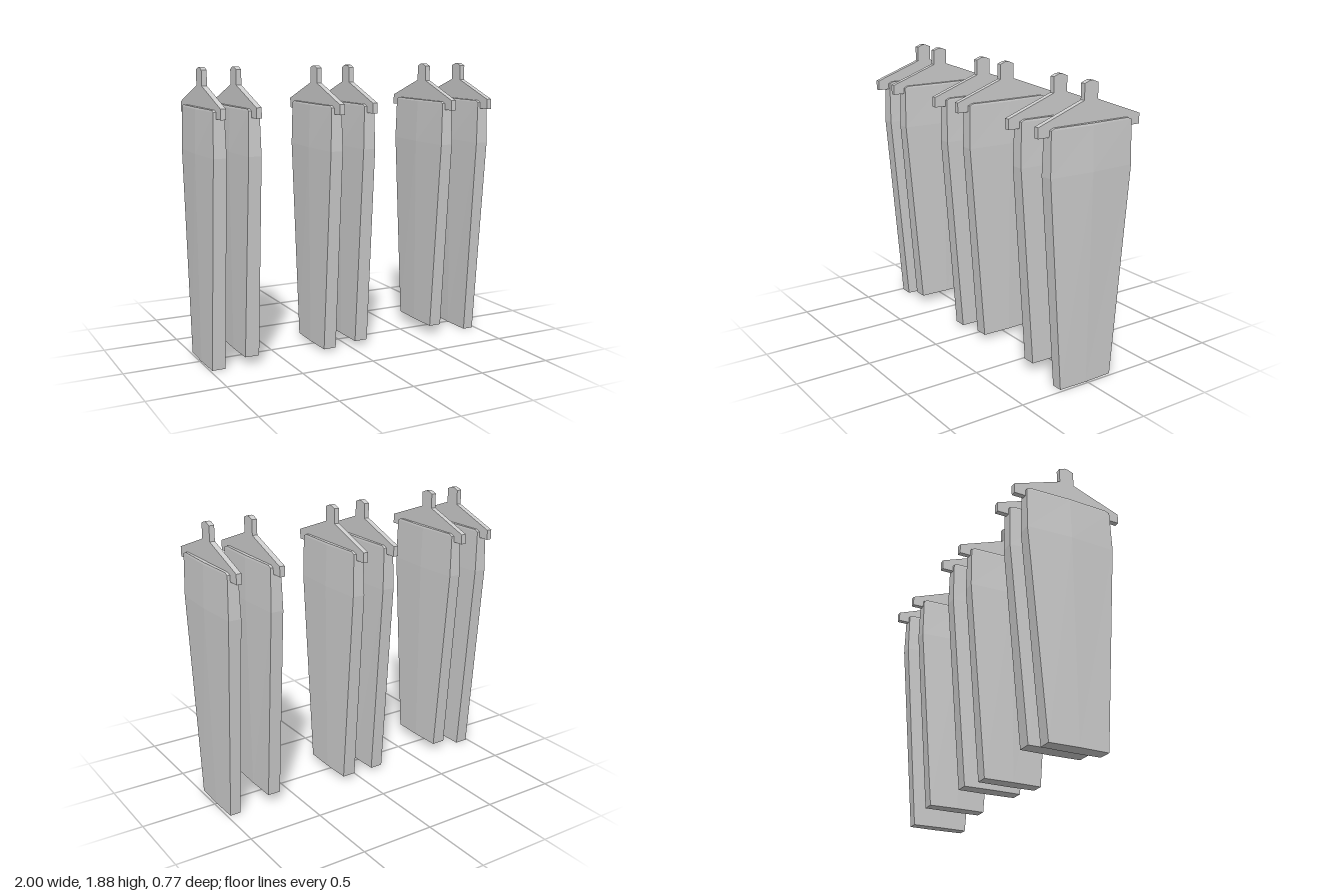
import * as THREE from 'three';

// Garment levels: [height fraction or y, half depth, edge half width, middle half width]
function garmentGeometry(bottom, bottomWidth) {
  const levels = [
    [bottom, 0.195, bottomWidth - 0.005, bottomWidth],
    [1.35, 0.302, 0.042, 0.055],
    [1.625, 0.297, 0.035, 0.045],
    [1.637, 0.27, 0.034, 0.042],
  ];
  // the hem follows the side taper when the garment is shorter
  levels[0][1] += (0.302 - 0.195) * bottom / 1.35;
  const rings = levels.map(([y, d, e, m]) => [
    [e, y, d], [m, y, 0], [e, y, -d], [-e, y, -d], [-m, y, 0], [-e, y, d],
  ]);
  const pos = [];
  const tri = (a, b, c) => pos.push(...a, ...b, ...c);
  for (let k = 0; k < rings.length - 1; k++) {
    for (let i = 0; i < 6; i++) {
      const j = (i + 1) % 6;
      const [a, b, c, d] = [rings[k][i], rings[k][j], rings[k + 1][j], rings[k + 1][i]];
      tri(a, b, c);
      tri(a, c, d);
    }
  }
  // flat hem and top
  const low = rings[0], high = rings[rings.length - 1];
  for (let i = 1; i < 5; i++) {
    tri(low[0], low[i + 1], low[i]);
    tri(high[0], high[i], high[i + 1]);
  }
  const g = new THREE.BufferGeometry();
  g.setAttribute('position', new THREE.Float32BufferAttribute(pos, 3));
  g.computeVertexNormals();
  return g;
}

// Flat hanger with sloping shoulders and a short neck
function hangerGeometry() {
  const half = [[0.375, 1.585], [0.375, 1.65], [0.05, 1.768], [0.05, 1.865], [0.012, 1.88]];
  const outline = [...half, ...half.map(([x, y]) => [-x, y]).reverse()];
  const shape = new THREE.Shape(outline.map(([x, y]) => new THREE.Vector2(x, y)));
  const g = new THREE.ExtrudeGeometry(shape, { depth: 0.034, bevelEnabled: false });
  g.translate(0, 0, -0.017);
  g.rotateY(Math.PI / 2);
  return g;
}

export function createModel() {
  const model = new THREE.Group();
  model.name = 'hangingGarments';
  const grey = new THREE.MeshStandardMaterial({ color: 0xcccccc });
  grey.name = 'light grey';
  const hangerGeo = hangerGeometry();

  // [x, hem height, hem half width, z offset]
  const garments = [
    [-0.943, 0, 0.049, 0.0075],
    [-0.719, 0.055, 0.052, 0.0075],
    [-0.164, 0.02, 0.048, 0.0075],
    [0.08, 0.035, 0.05, -0.0115],
    [0.66, 0.065, 0.048, 0.0075],
    [0.944, 0, 0.041, 0.0075],
  ];
  garments.forEach(([x, hem, width, z], i) => {
    const item = new THREE.Group();
    item.name = `hangingGarment${i + 1}`;
    item.position.set(x, 0, z);
    const garment = new THREE.Mesh(garmentGeometry(hem, width), grey);
    garment.name = 'garment';
    const hanger = new THREE.Mesh(hangerGeo, grey);
    hanger.name = 'hanger';
    item.add(garment, hanger);
    model.add(item);
  });
  return model;
}
